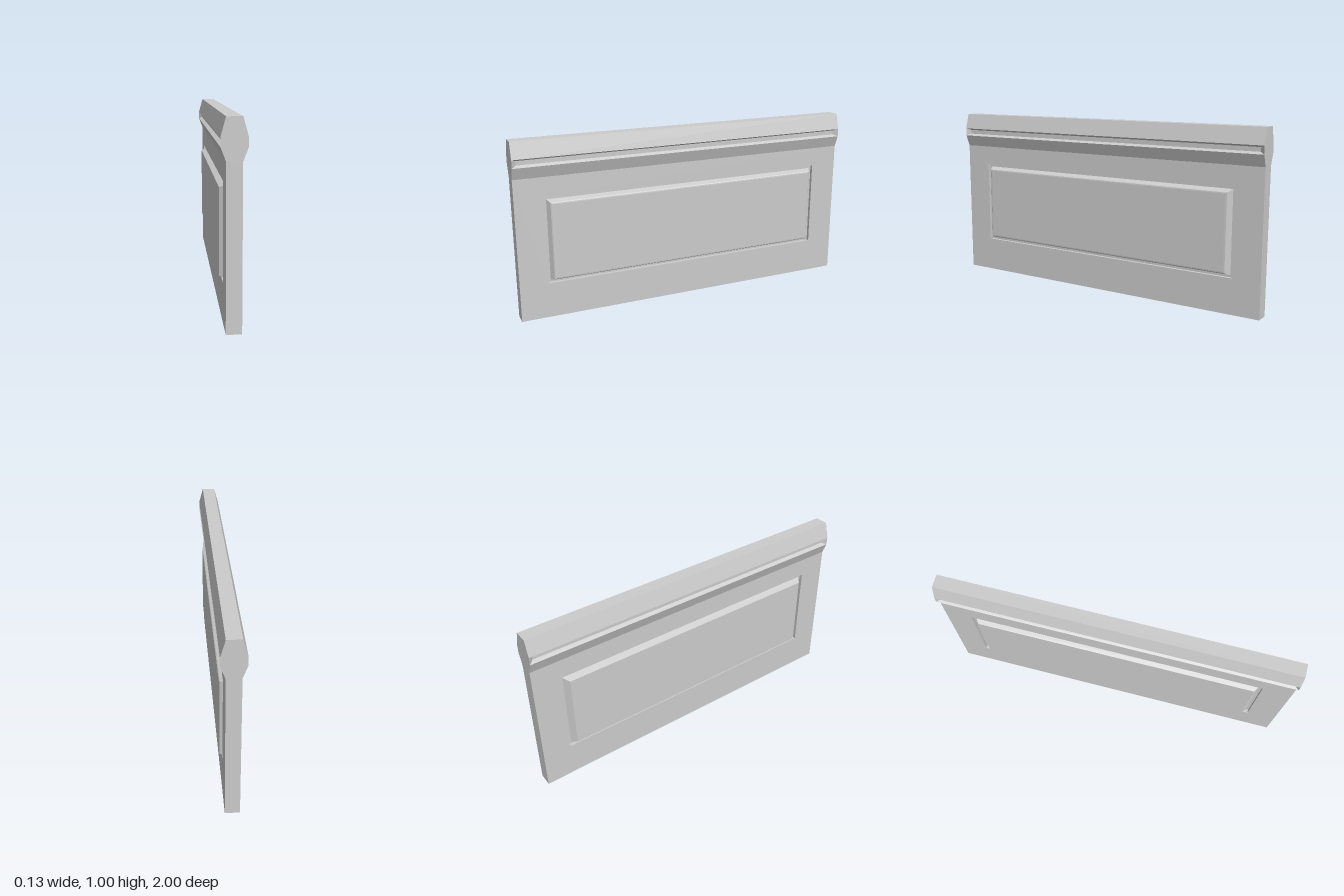
import * as THREE from 'three';

const L = 1;            // half length along z
const T = 0.038;        // half thickness of the slab
const R = 0.063;        // half thickness of the rail
const Y = { rail: 0.8, bandLow: 0.865, bandHigh: 0.91, top: 1 };

const material = new THREE.MeshStandardMaterial({ color: 0xcccccc, flatShading: true });

// Corners of a rectangle facing +x, counter-clockwise; lower and upper edge may differ in x
const rect = (x, y0, y1, z, xTop = x) => [[x, y0, z], [x, y0, -z], [xTop, y1, -z], [xTop, y1, z]];

// Mesh from a list of four-cornered faces
function faceMesh(name, quads) {
  const points = quads.flatMap(([a, b, c, d]) => [a, b, c, a, c, d]).flat();
  const geometry = new THREE.BufferGeometry();
  geometry.setAttribute('position', new THREE.Float32BufferAttribute(points, 3));
  geometry.computeVertexNormals();
  const mesh = new THREE.Mesh(geometry, material);
  mesh.name = name;
  return mesh;
}

// Nested rectangles joined by mitred strips, the last one closed
function nested(loops) {
  const quads = [];
  for (let k = 0; k + 1 < loops.length; k++) {
    const a = loops[k], b = loops[k + 1];
    for (let i = 0; i < 4; i++) {
      const j = (i + 1) % 4;
      quads.push([a[i], a[j], b[j], b[i]]);
    }
  }
  quads.push(loops[loops.length - 1]);
  return quads;
}

// One long side: slab face with its raised field, and the grooved rail above
function createSide(name, rounded) {
  const side = new THREE.Group();
  side.name = name;
  const fieldTop = rounded
    ? [rect(0.05, 0.222, 0.66, 0.81), rect(0.054, 0.226, 0.656, 0.805), rect(0.055, 0.232, 0.65, 0.795)]
    : [rect(0.055, 0.226, 0.656, 0.8)];
  side.add(faceMesh('panelFace', nested([
    rect(T, 0, Y.rail, L),
    rect(T, 0.2, 0.69, 0.84),         // edge of the recess
    rect(0.02, 0.2, 0.69, 0.84),      // recess floor
    rect(0.02, 0.212, 0.672, 0.825),  // foot of the raised field
    ...fieldTop,
  ])));
  side.add(faceMesh('railSlopes', [
    rect(T, Y.rail, Y.bandLow, L, R),
    rect(R, Y.bandHigh, Y.top, L, T),
  ]));
  side.add(faceMesh('railGroove', nested([
    rect(R, Y.bandLow, Y.bandHigh, L),
    rect(0.043, 0.876, 0.9, 0.975),
  ])));
  return side;
}

export function createModel() {
  const model = new THREE.Group();
  model.name = 'panelledBoard';

  // Long sides
  model.add(createSide('leftSide', true));
  const right = createSide('rightSide', false);
  right.rotation.y = Math.PI;
  model.add(right);

  // End caps with the rail profile
  const half = [[T, 0], [T, Y.rail], [R, Y.bandLow], [R, Y.bandHigh], [T, Y.top]];
  const outline = [...half, ...half.map(([x, y]) => [-x, y]).reverse()];
  const cap = new THREE.ShapeGeometry(new THREE.Shape(outline.map(p => new THREE.Vector2(...p))));
  for (const s of [1, -1]) {
    const end = new THREE.Mesh(cap, material);
    end.name = s > 0 ? 'frontEnd' : 'backEnd';
    end.position.z = s * L;
    if (s < 0) end.rotation.y = Math.PI;
    model.add(end);
  }

  // Top and bottom edges
  model.add(faceMesh('topEdge', [[[-T, 1, L], [T, 1, L], [T, 1, -L], [-T, 1, -L]]]));
  model.add(faceMesh('bottomEdge', [[[-T, 0, -L], [T, 0, -L], [T, 0, L], [-T, 0, L]]]));
  return model;
}
